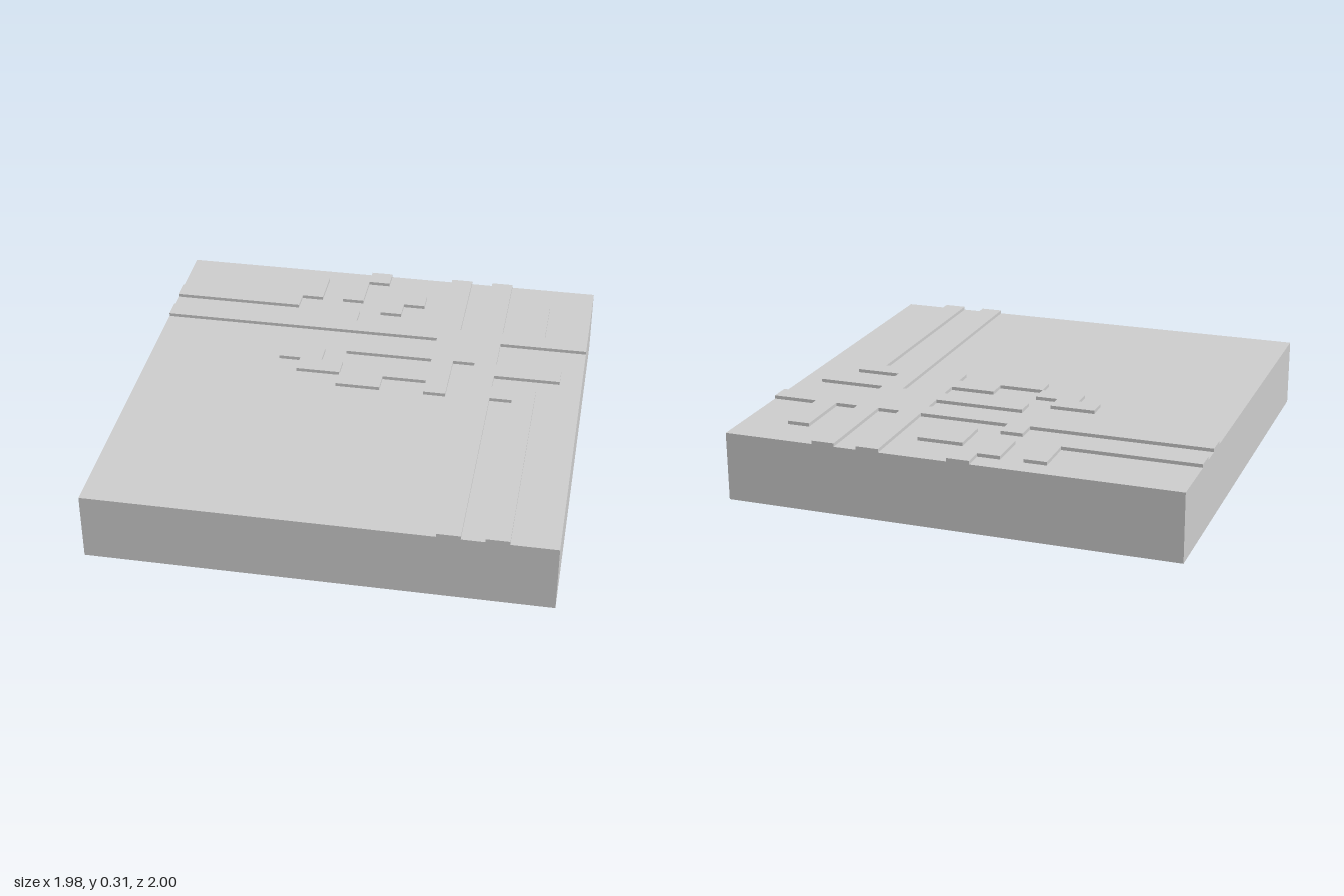
import * as THREE from 'three';

const COLS = 20, ROWS = 22;            // layout grid of the top face
const WIDTH = 1.98, DEPTH = 2;
const BASE_H = 0.3, RELIEF_H = 0.015;

// Right-angled outline: start at a grid corner, then alternate new column, new row, ...
function outline(start, turns) {
  let [c, r] = start;
  const points = [];
  const add = () => points.push(new THREE.Vector2(
    (c / COLS - 0.5) * WIDTH, -(r / ROWS - 0.5) * DEPTH));
  add();
  turns.forEach((v, i) => {
    if (i % 2 === 0) c = v; else r = v;
    add();
  });
  return points;
}

export function createModel() {
  const group = new THREE.Group();
  group.name = 'reliefTile';
  const material = new THREE.MeshStandardMaterial({ color: 0xcccccc, flatShading: true });

  function addMesh(name, geometry, y) {
    const mesh = new THREE.Mesh(geometry, material);
    mesh.name = name;
    mesh.position.y = y;
    group.add(mesh);
  }

  function addRelief(name, start, turns, hole) {
    const shape = new THREE.Shape(outline(start, turns));
    if (hole) shape.holes.push(new THREE.Path(outline(...hole)));
    const geometry = new THREE.ExtrudeGeometry(shape, { depth: RELIEF_H, bevelEnabled: false });
    geometry.rotateX(-Math.PI / 2);
    addMesh(name, geometry, BASE_H);
  }

  // Thick slab
  addMesh('baseSlab', new THREE.BoxGeometry(WIDTH, BASE_H, DEPTH), BASE_H / 2);

  // Main crossing paths with their branches and one square opening
  addRelief('pathNetwork', [0, 5], [
    8, 4, 9, 5, 13, 0, 14, 5, 15, 0, 16, 5, 17, 2, 18, 5, 20, 6,      // back side
    16, 8, 19, 9, 16, 10, 18, 22, 17, 11, 16, 22, 15, 8,              // right and front
    14, 11, 13, 10, 11, 9, 13, 8, 9, 7, 13, 6, 0,                     // inner branches
  ], [[14, 6], [15, 7, 14]]);

  // Separate raised pieces
  addRelief('sideStrip', [0, 3], [6, 4, 0]);
  addRelief('backBlockLeft', [6, 1], [7, 3, 6]);
  addRelief('backBlockMiddle', [8, 1], [9, 3, 8]);
  addRelief('backEdgeBlock', [9, 0], [10, 1, 9]);
  addRelief('cornerPiece', [10, 2], [12, 3, 11, 4, 10]);
  addRelief('steppedPiece', [6, 8], [8, 9, 9, 10, 7, 9, 6]);
  addRelief('middleBlock', [9, 10], [11, 11, 9]);

  return group;
}
